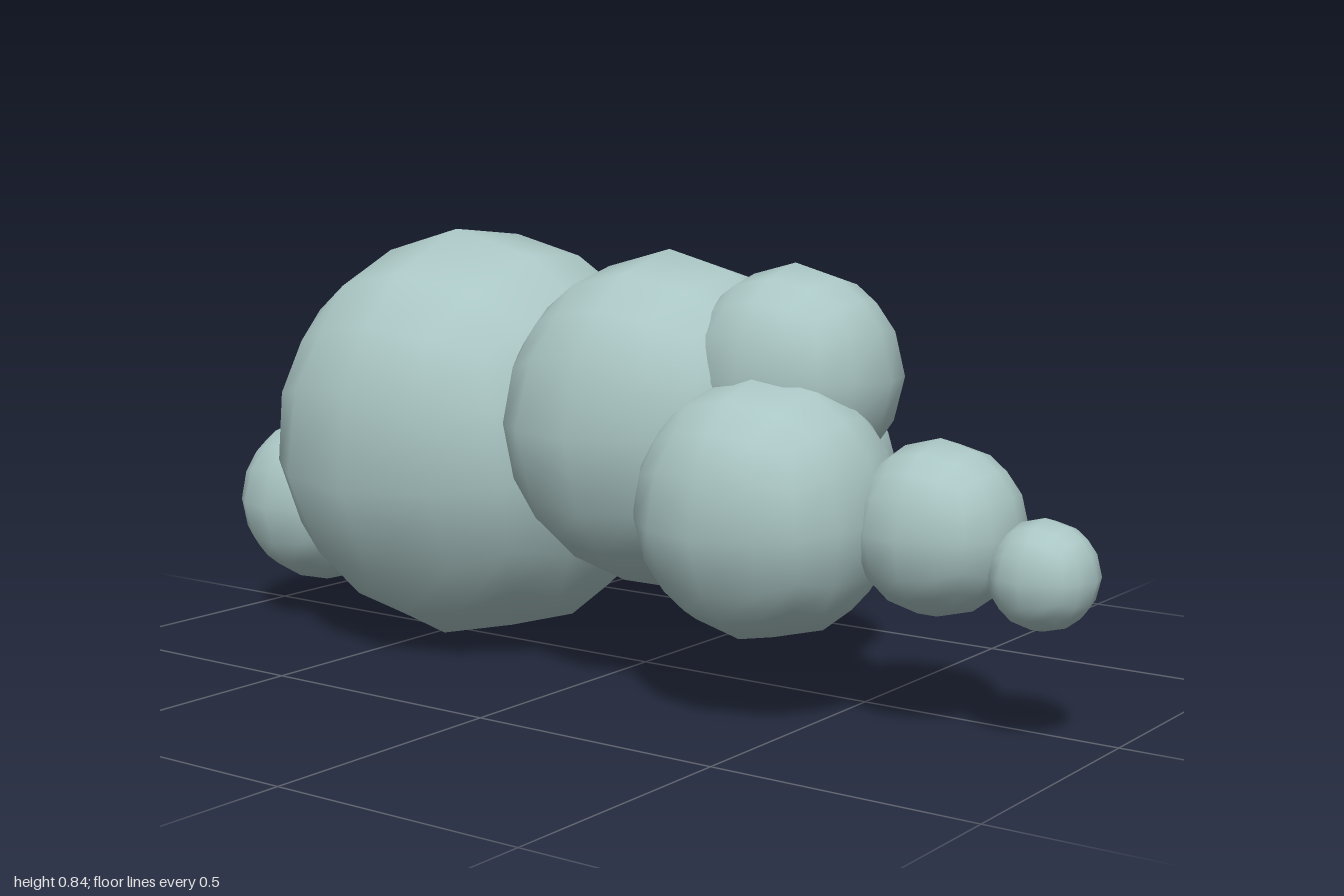
import * as THREE from 'three';
import { mergeVertices } from 'three/addons/utils/BufferGeometryUtils.js';

// Smooth-shaded ball made by inflating a subdivided cube
function quadSphere(radius) {
  let geo = new THREE.BoxGeometry(2, 2, 2, 4, 4, 4);
  geo.deleteAttribute('uv');
  geo.deleteAttribute('normal');
  geo = mergeVertices(geo);
  const pos = geo.attributes.position;
  const v = new THREE.Vector3();
  for (let i = 0; i < pos.count; i++) {
    v.fromBufferAttribute(pos, i).normalize();
    // slightly lower towards the cube's edges and corners
    const k = 0.955 + 0.045 * (v.x ** 4 + v.y ** 4 + v.z ** 4);
    v.multiplyScalar(radius * k);
    pos.setXYZ(i, v.x, v.y, v.z);
  }
  geo.computeVertexNormals();
  return geo;
}

export function createModel() {
  const group = new THREE.Group();
  const paleTeal = new THREE.MeshStandardMaterial({ color: 0xaac6c4 });
  paleTeal.name = 'paleTeal';

  // name, x, y, z, radius, tilt about x
  const lobes = [
    ['endLobe', -0.82, 0.253, 0.047, 0.181, 0],
    ['largeLobe', -0.43, 0.42, -0.015, 0.425, 0.165],
    ['middleLobe', 0.09, 0.495, 0.047, 0.323, 0],
    ['upperLobe', 0.37, 0.602, 0.048, 0.202, 0],
    ['frontLobe', 0.402, 0.382, 0.187, 0.243, 0.1],
    ['backLobe', 0.25, 0.38, -0.137, 0.208, 0.08],
    ['smallLobe', 0.705, 0.366, 0.11, 0.156, 0],
    ['tipLobe', 0.903, 0.308, 0.108, 0.097, 0],
  ];
  for (const [name, x, y, z, radius, tilt] of lobes) {
    const mesh = new THREE.Mesh(quadSphere(radius), paleTeal);
    mesh.name = name;
    mesh.position.set(x, y, z);
    mesh.rotation.x = tilt;
    group.add(mesh);
  }
  return group;
}
